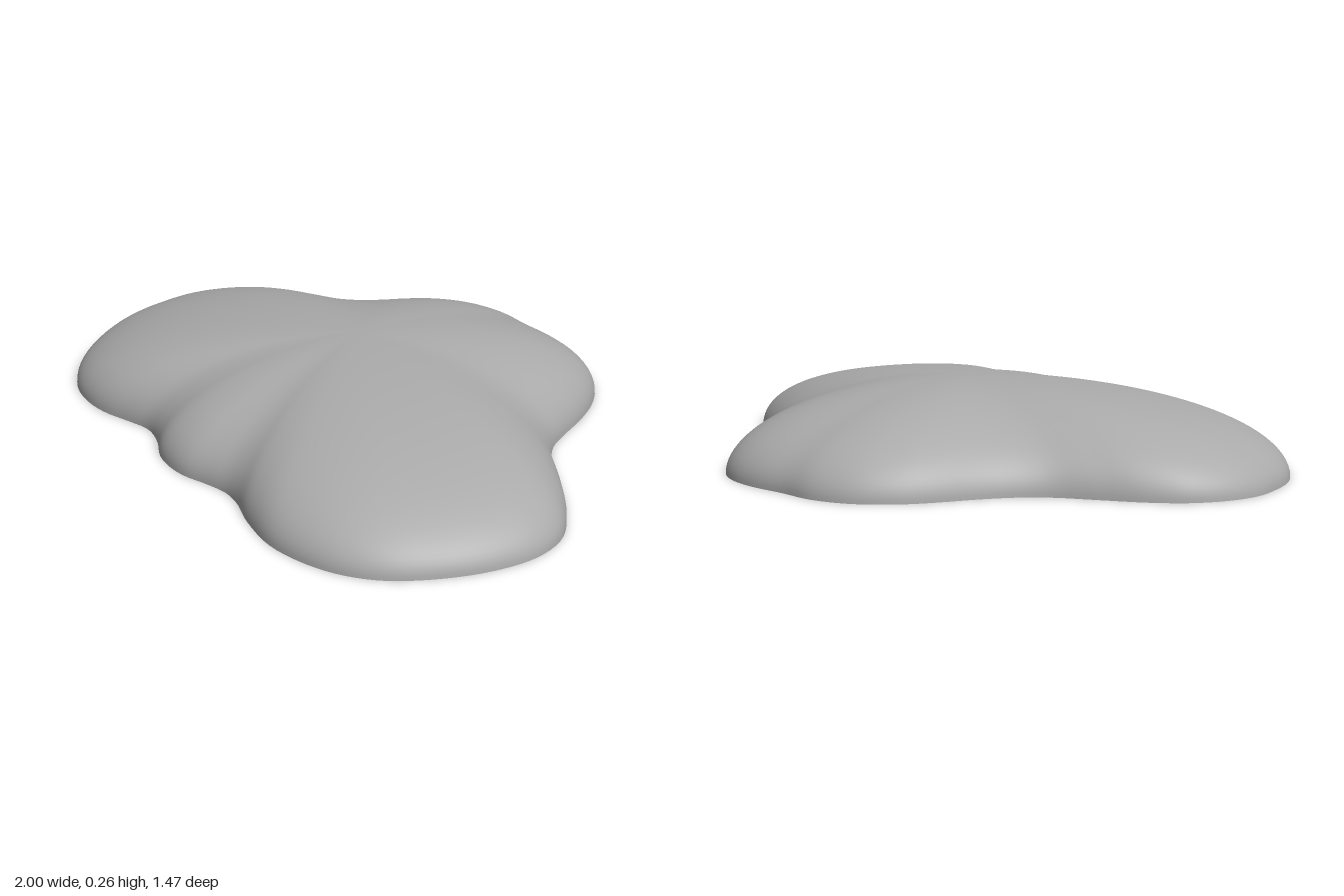
import * as THREE from 'three';

const HEIGHT = 0.258, CENTRE_Z = 0.03, RINGS = 32, SEGMENTS = 200;

// Footprint control points (x, z), clockwise seen from above
const OUTLINE = [
  [-0.1, -0.737], [0.02, -0.727], [0.15, -0.722], [0.25, -0.7], [0.34, -0.65], [0.42, -0.56],
  [0.48, -0.45], [0.52, -0.35], [0.565, -0.255], [0.64, -0.18], [0.77, -0.09], [0.89, 0.005],
  [0.97, 0.1], [1, 0.21], [0.985, 0.34], [0.93, 0.48], [0.84, 0.61], [0.72, 0.69],
  [0.54, 0.73], [0.38, 0.705], [0.28, 0.67], [0.21, 0.66], [0.13, 0.675], [0.05, 0.697],
  [-0.02, 0.7], [-0.1, 0.685], [-0.18, 0.645], [-0.27, 0.622], [-0.36, 0.64], [-0.45, 0.663],
  [-0.54, 0.668], [-0.66, 0.645], [-0.78, 0.575], [-0.89, 0.455], [-0.965, 0.32], [-0.995, 0.19],
  [-1, 0.09], [-0.97, -0.01], [-0.91, -0.1], [-0.82, -0.17], [-0.7, -0.23], [-0.58, -0.29],
  [-0.51, -0.35], [-0.45, -0.43], [-0.38, -0.55], [-0.32, -0.63], [-0.22, -0.705],
];

// Dome: the footprint shrinks towards the apex along a quarter ellipse
function domeGeometry(rim) {
  const positions = [0, HEIGHT, CENTRE_Z];
  const indices = [];
  const at = (ring, i) => (ring === 0 ? 0 : 1 + (ring - 1) * SEGMENTS + (i % SEGMENTS));
  for (let ring = 1; ring <= RINGS; ring++) {
    const angle = (ring / RINGS) * Math.PI / 2;
    const spread = Math.sin(angle), y = HEIGHT * Math.cos(angle);
    for (const p of rim) {
      positions.push(p.x * spread, y, CENTRE_Z + (p.z - CENTRE_Z) * spread);
    }
  }
  for (let ring = 0; ring < RINGS; ring++) {
    for (let i = 0; i < SEGMENTS; i++) {
      const a = at(ring, i), b = at(ring, i + 1), c = at(ring + 1, i), d = at(ring + 1, i + 1);
      indices.push(a, d, c);
      if (ring > 0) indices.push(a, b, d);
    }
  }
  const geometry = new THREE.BufferGeometry();
  geometry.setAttribute('position', new THREE.Float32BufferAttribute(positions, 3));
  geometry.setIndex(indices);
  geometry.computeVertexNormals();
  return geometry;
}

export function createModel() {
  const grey = new THREE.MeshStandardMaterial({ color: 0xaaaaaa });
  grey.name = 'stone grey';

  const curve = new THREE.CatmullRomCurve3(
    OUTLINE.map(([x, z]) => new THREE.Vector3(x, 0, z)), true, 'centripetal');
  const rim = curve.getSpacedPoints(SEGMENTS).slice(0, SEGMENTS);

  const dome = new THREE.Mesh(domeGeometry(rim), grey);
  dome.name = 'lobedDome';

  // Flat underside, facing down
  const footprint = new THREE.Shape(rim.map((p) => new THREE.Vector2(p.x, p.z)));
  const base = new THREE.Mesh(new THREE.ShapeGeometry(footprint).rotateX(Math.PI / 2), grey);
  base.name = 'flatBase';

  const model = new THREE.Group();
  model.name = 'lobedMound';
  model.add(dome, base);
  return model;
}
